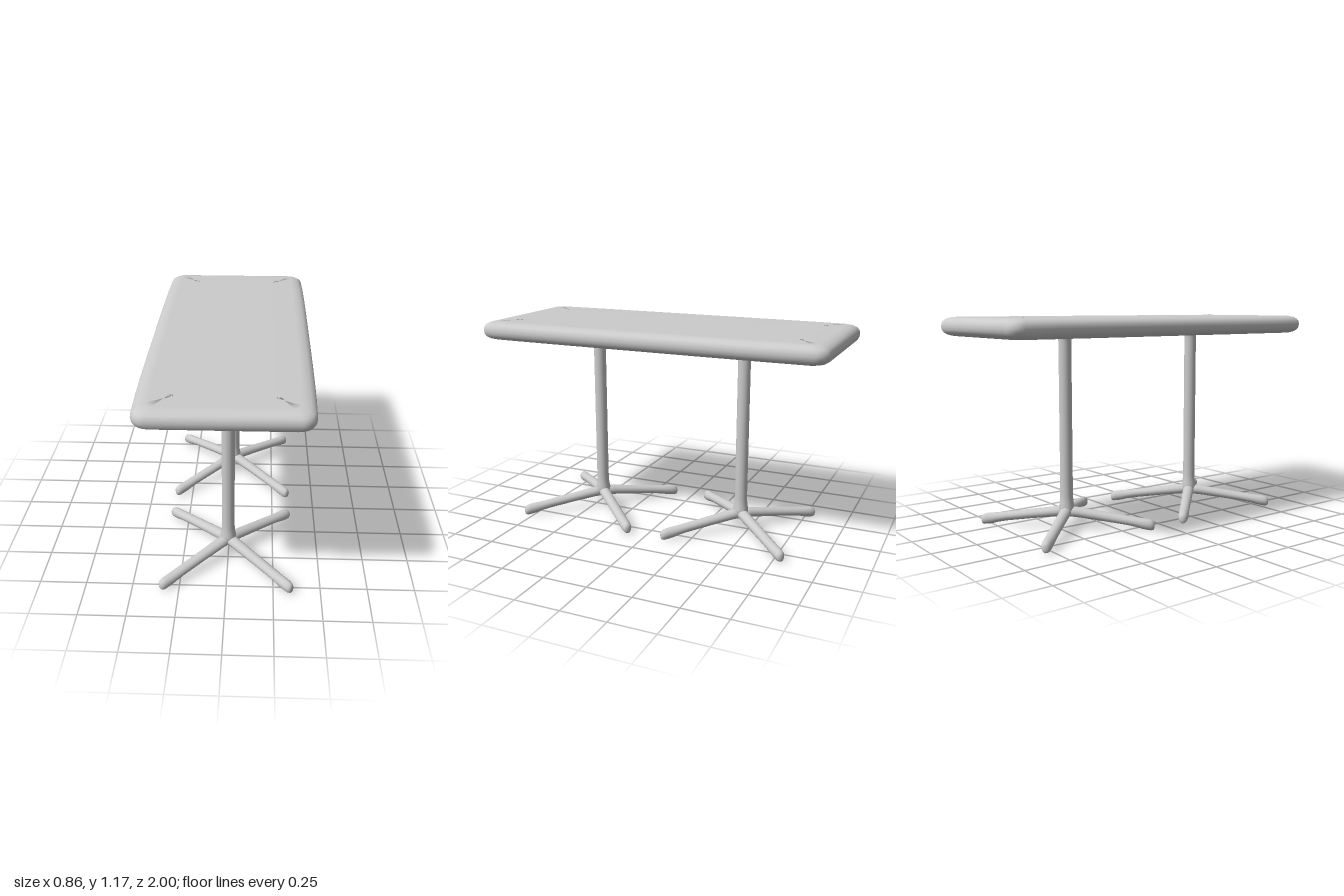
import * as THREE from 'three';

const material = new THREE.MeshStandardMaterial({ color: 0xcccccc });

// Joins equal-length closed rings (counter-clockwise about the loft direction) and caps both ends.
function loft(rings) {
  const n = rings[0].length;
  const points = rings.flat();
  const index = [];
  for (let i = 0; i < rings.length - 1; i++) {
    for (let j = 0; j < n; j++) {
      const k = (j + 1) % n;
      const a = i * n + j, b = i * n + k;
      index.push(a, b, b + n, a, b + n, a + n);
    }
  }
  const middle = (ring) => ring.reduce((sum, p) => sum.add(p), new THREE.Vector3()).divideScalar(n);
  const start = points.length, last = (rings.length - 1) * n;
  points.push(middle(rings[0]), middle(rings[rings.length - 1]));
  for (let j = 0; j < n; j++) {
    const k = (j + 1) % n;
    index.push(start, k, j, start + 1, last + j, last + k);
  }
  const geometry = new THREE.BufferGeometry().setFromPoints(points);
  geometry.setIndex(index);
  geometry.computeVertexNormals();
  return geometry;
}

// Rounded rectangle whose long sides bow out very slightly
function topRing(inset, y) {
  const hx = 0.429 - inset, hz = 1 - inset, r = 0.075 - inset * 0.5;
  const ring = [];
  const add = (x, z) => ring.push(new THREE.Vector3(x * (1 - 0.025 * z ** 4), y, z));
  const corners = [[1, -1], [-1, -1], [-1, 1], [1, 1]];
  corners.forEach(([sx, sz], c) => {
    for (let i = 0; i <= 8; i++) {
      const a = (c + i / 8) * Math.PI / 2;
      add(sx * (hx - r) + r * Math.cos(a), sz * (hz - r) - r * Math.sin(a));
    }
    // points along the long sides
    if (sx === sz || c === 1) {
      const side = c === 1 ? -1 : c === 3 ? 1 : 0;
      for (let i = 1; side && i < 10; i++) add(side * hx, -side * (hz - r) * (i / 5 - 1) * -1 * -1);
    }
  });
  return ring;
}

function tabletop() {
  // inset and height, from the underside round the soft edge to the top
  const edge = [
    [0.2, 1.063], [0.075, 1.063], [0.055, 1.064], [0.03, 1.071], [0.012, 1.082], [0.003, 1.097],
    [0, 1.115], [0.003, 1.133], [0.012, 1.148], [0.03, 1.159], [0.055, 1.165], [0.075, 1.166], [0.2, 1.167],
  ];
  return loft(edge.map(([inset, y]) => topRing(inset, y)));
}

// One splayed leg along +x, ending in a turned-down foot
function legGeometry() {
  // distance out, top height, bottom height, half width
  const sections = [
    [0, 0.124, 0.063, 0.032], [0.06, 0.117, 0.06, 0.032], [0.2, 0.097, 0.044, 0.03],
    [0.34, 0.077, 0.026, 0.029], [0.39, 0.07, 0.017, 0.029], [0.425, 0.067, 0.007, 0.029],
    [0.455, 0.064, 0.002, 0.028], [0.475, 0.059, 0, 0.025], [0.486, 0.052, 0.003, 0.019],
    [0.491, 0.043, 0.01, 0.011],
  ];
  return loft(sections.map(([x, top, bottom, w]) => {
    const ring = [];
    for (let j = 0; j < 20; j++) {
      const a = j / 20 * Math.PI * 2;
      ring.push(new THREE.Vector3(x, (top + bottom) / 2 + (top - bottom) / 2 * Math.cos(a), w * Math.sin(a)));
    }
    return ring;
  }));
}

export function createModel() {
  const model = new THREE.Group();
  model.name = 'table';
  const add = (parent, name, geometry) => {
    const mesh = new THREE.Mesh(geometry, material);
    mesh.name = name;
    parent.add(mesh);
    return mesh;
  };

  add(model, 'tabletop', tabletop());

  // Column flares a little into the legs and under the top
  const profile = [
    [0, 0.064], [0.03, 0.068], [0.044, 0.095], [0.043, 0.122], [0.038, 0.145], [0.0355, 0.18],
    [0.035, 0.25], [0.035, 1.03], [0.036, 1.05], [0.04, 1.07],
  ].map(([r, y]) => new THREE.Vector2(r, y));
  const columnGeometry = new THREE.LatheGeometry(profile, 32);
  const leg = legGeometry();

  // Two pedestals, each with four diagonal legs
  for (const side of [1, -1]) {
    const pedestal = new THREE.Group();
    pedestal.name = side > 0 ? 'frontPedestal' : 'backPedestal';
    pedestal.position.z = side * 0.45;
    add(pedestal, 'column', columnGeometry);
    for (let i = 0; i < 4; i++) {
      add(pedestal, 'leg', leg).rotation.y = Math.PI / 4 + i * Math.PI / 2;
    }
    model.add(pedestal);
  }
  return model;
}
